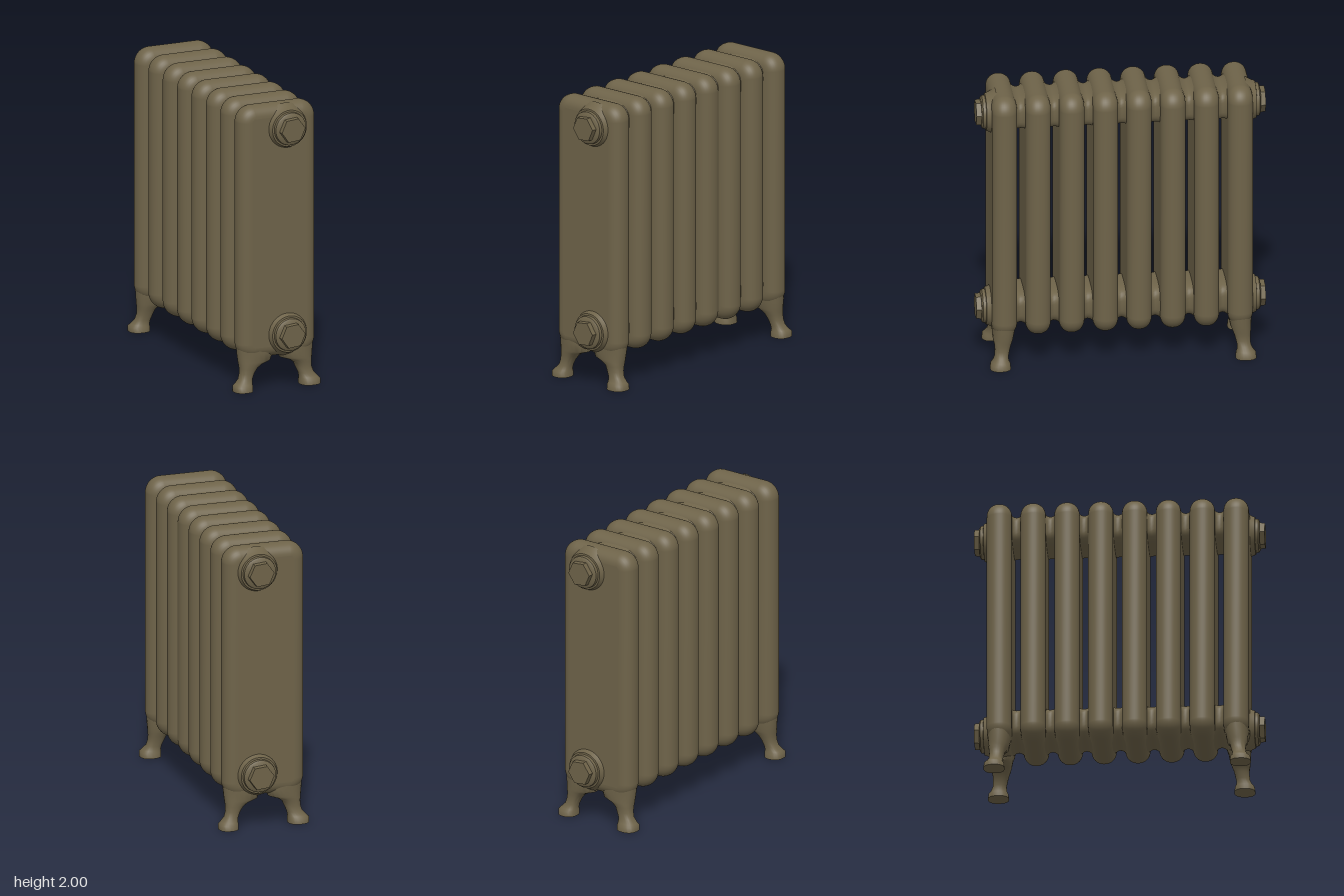
import * as THREE from 'three';
import { mergeVertices, toCreasedNormals } from 'three/addons/utils/BufferGeometryUtils.js';

const PITCH = 0.23, COUNT = 8, END = PITCH * (COUNT - 1) / 2;

// Closed skin through equal-sized rings of points, capped at both ends
function loft(rings, crease) {
  const n = rings[0].length, pos = [], idx = [];
  rings.forEach(r => r.forEach(p => pos.push(p.x, p.y, p.z)));
  for (let i = 0; i < rings.length - 1; i++) {
    for (let j = 0; j < n; j++) {
      const a = i * n + j, b = i * n + (j + 1) % n;
      idx.push(a, b, a + n, b, b + n, a + n);
    }
  }
  for (const end of [0, rings.length - 1]) {
    const c = new THREE.Vector3();
    rings[end].forEach(p => c.addScaledVector(p, 1 / n));
    const k = pos.length / 3;
    pos.push(c.x, c.y, c.z);
    for (let j = 0; j < n; j++) {
      const a = end * n + j, b = end * n + (j + 1) % n;
      if (end) idx.push(k, a, b); else idx.push(k, b, a);
    }
  }
  const g = new THREE.BufferGeometry();
  g.setAttribute('position', new THREE.Float32BufferAttribute(pos, 3));
  g.setIndex(idx);
  g.computeVertexNormals();
  return crease ? toCreasedNormals(g, crease) : g;
}

// Superellipse as [u, v] pairs
function oval(ru, rv, power, n) {
  const f = (c, r) => Math.sign(c) * r * Math.pow(Math.abs(c), 2 / power);
  return Array.from({ length: n }, (_, i) => {
    const a = i / n * Math.PI * 2;
    return [f(Math.cos(a), ru), f(Math.sin(a), rv)];
  });
}

// Flat column with fully rounded rim
function columnGeometry() {
  const w = 0.205, y0 = 0.302, y1 = 1.918, r = 0.03;
  const s = new THREE.Shape();
  s.moveTo(-w + r, y0);
  s.lineTo(w - r, y0);
  s.absarc(w - r, y0 + r, r, -Math.PI / 2, 0);
  s.lineTo(w, y1 - r);
  s.absarc(w - r, y1 - r, r, 0, Math.PI / 2);
  s.lineTo(-w + r, y1);
  s.absarc(-w + r, y1 - r, r, Math.PI / 2, Math.PI);
  s.lineTo(-w, y0 + r);
  s.absarc(-w + r, y0 + r, r, Math.PI, Math.PI * 1.5);
  let g = new THREE.ExtrudeGeometry(s, {
    depth: 0.01, bevelThickness: 0.08, bevelSize: 0.082, bevelSegments: 8, curveSegments: 6
  });
  g.translate(0, 0, -0.005);
  g.deleteAttribute('uv');
  g.deleteAttribute('normal');
  g = mergeVertices(g, 1e-4);
  g.computeVertexNormals();
  return g;
}

// Header pipe that swells at every column: top and bottom are functions of the swell
function headerGeometry(top, bottom) {
  const steps = (COUNT - 1) * 12, rings = [];
  for (let i = 0; i <= steps; i++) {
    const z = -END + 2 * END * i / steps;
    const swell = 0.5 + 0.5 * Math.cos(i / 12 * Math.PI * 2);
    const t = top(swell), b = bottom(swell);
    rings.push(oval(0.175 + 0.108 * swell, (t - b) / 2, 3.2, 40)
      .map(([x, y]) => new THREE.Vector3(x, y + (t + b) / 2, z)));
  }
  return loft(rings);
}

// Leg flaring into a foot pad; side is +1 or -1 in x
function legGeometry(side) {
  const d = side > 0 ? 0.012 : 0;
  // y, inner x, outer x, centre z, half depth
  const rows = [
    [0, 0.185 - d, 0.32, 0.838, 0.072], [0.035, 0.185 - d, 0.32, 0.838, 0.068],
    [0.05, 0.187 - d, 0.305, 0.835, 0.056], [0.08, 0.182 - d, 0.277, 0.828, 0.047],
    [0.12, 0.165 - d, 0.265, 0.822, 0.05], [0.155, 0.138, 0.265, 0.818, 0.056],
    [0.18, 0.1, 0.268, 0.815, 0.064], [0.2, 0.04, 0.271, 0.812, 0.07],
    [0.26, 0.02, 0.277, 0.808, 0.078], [0.37, 0.05, 0.284, 0.805, 0.08]
  ];
  return loft(rows.map(([y, a, b, cz, rz]) => oval(rz, (b - a) / 2, 2.4, 24)
    .map(([z, x]) => new THREE.Vector3(x + side * (a + b) / 2, y, z + cz))), 0.9);
}

// Round boss and collar, spun about the z axis
function bossGeometry() {
  const pts = [[0.165, 0.85], [0.148, 0.878], [0.136, 0.9], [0.128, 0.922], [0.116, 0.924],
    [0.113, 0.944], [0.1, 0.953], [0, 0.953]].map(([r, z]) => new THREE.Vector2(r, z));
  const g = new THREE.LatheGeometry(pts, 40);
  g.rotateX(Math.PI / 2);
  return toCreasedNormals(g, 0.7);
}

// Six-sided plug head
function plugGeometry() {
  const g = new THREE.CylinderGeometry(0.088, 0.092, 0.05, 6);
  g.rotateY(Math.PI / 2 + 0.1);
  g.rotateX(Math.PI / 2);
  g.translate(0, 0, 0.963);
  return toCreasedNormals(g, 0.5);
}

export function createModel() {
  const model = new THREE.Group();
  model.name = 'radiator';
  const iron = new THREE.MeshStandardMaterial({ color: 0x6e6349 });
  iron.name = 'olive iron';
  const add = (geometry, name, parent = model) => {
    const m = new THREE.Mesh(geometry, iron);
    m.name = name;
    parent.add(m);
    return m;
  };

  // Columns
  const column = columnGeometry();
  for (let i = 0; i < COUNT; i++) add(column, 'column').position.z = -END + i * PITCH;

  // Headers joining the columns
  add(headerGeometry(s => 1.943 + 0.055 * s, () => 1.72), 'upperHeader');
  add(headerGeometry(() => 0.5, s => 0.27 - 0.05 * s), 'lowerHeader');

  // Legs and plugs at both ends; the back end is the front turned about
  const boss = bossGeometry(), plug = plugGeometry();
  for (const end of [1, -1]) {
    const group = new THREE.Group();
    group.name = end > 0 ? 'frontEnd' : 'backEnd';
    group.rotation.y = end > 0 ? 0 : Math.PI;
    for (const side of [1, -1]) add(legGeometry(side * end), 'leg', group).name = 'leg';
    group.children.forEach((leg, i) => {
      leg.name = i === 0 ? 'leftLeg' : 'rightLeg';
    });
    for (const y of [1.835, 0.385]) {
      add(boss, 'plugCollar', group).position.set(0.06 * end, y, 0);
      add(plug, 'plugHead', group).position.set(0.06 * end, y, 0);
    }
    model.add(group);
  }
  return model;
}
